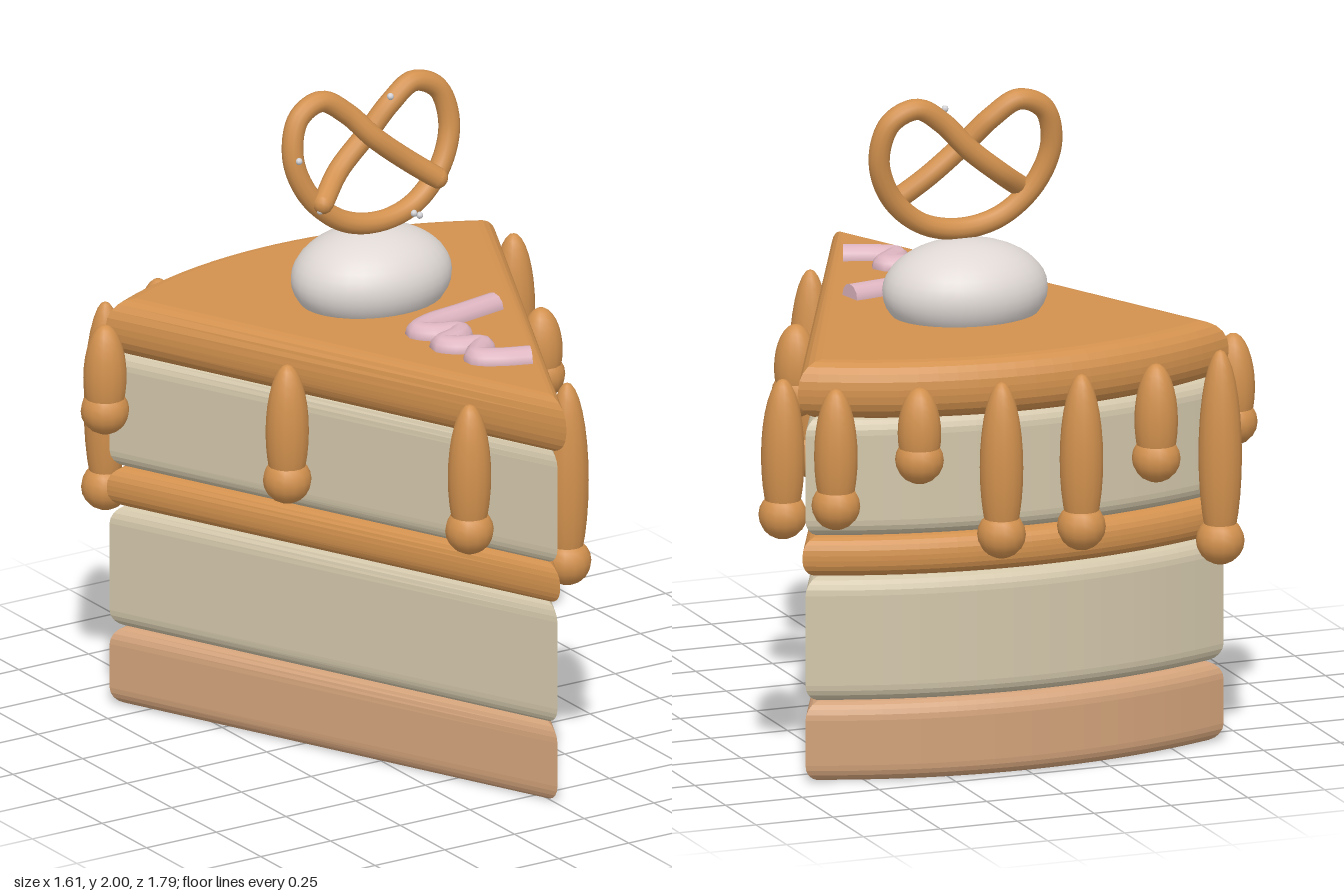
import * as THREE from 'three';

const mat = (name, color, side = THREE.FrontSide) => {
  const m = new THREE.MeshStandardMaterial({ color, side });
  m.name = name;
  return m;
};

export function createModel() {
  const group = new THREE.Group();
  const caramel = mat('caramel', 0xd2914e);
  const cream = mat('cream', 0xd2c6aa);
  const crust = mat('crust', 0xd2a27a);
  const whipped = mat('whipped cream', 0xdfd8d4);
  const pink = mat('pink', 0xdcb4c0);
  const salt = mat('salt', 0xd4d4d8);

  const add = (name, geo, material, x = 0, y = 0, z = 0, parent = group) => {
    const m = new THREE.Mesh(geo, material);
    m.name = name;
    m.position.set(x, y, z);
    parent.add(m);
    return m;
  };

  // Wedge-shaped layer with a curved back and rounded edges
  const layer = (name, material, y0, y1, tip, w, corner, back, bevel) => {
    const sag = corner - back;
    const r = (w * w + sag * sag) / (2 * sag);
    const a = Math.asin(w / r);
    const s = new THREE.Shape();
    s.moveTo(0, -tip);
    const n = 24;
    for (let i = 0; i <= n; i++) {
      const t = a - (2 * a * i) / n;
      s.lineTo(r * Math.sin(t), -back - r + r * Math.cos(t));
    }
    s.closePath();
    const geo = new THREE.ExtrudeGeometry(s, {
      depth: y1 - y0 - 2 * bevel,
      bevelThickness: bevel,
      bevelSize: bevel * 0.85,
      bevelOffset: -bevel * 0.85,
      bevelSegments: 5,
    });
    geo.rotateX(-Math.PI / 2);
    add(name, geo, material, 0, y0 + bevel, 0);
  };
  layer('crustLayer', crust, 0, 0.25, 0.85, 0.68, -0.6, -0.74, 0.055);
  layer('lowerCreamLayer', cream, 0.25, 0.64, 0.85, 0.68, -0.6, -0.74, 0.055);
  layer('caramelFilling', caramel, 0.64, 0.765, 0.865, 0.69, -0.6, -0.75, 0.055);
  layer('upperCreamLayer', cream, 0.765, 1.14, 0.85, 0.68, -0.6, -0.74, 0.055);
  layer('caramelTopping', caramel, 1.13, 1.31, 0.9, 0.7, -0.59, -0.78, 0.08);

  // Caramel drips: x, z and height of the hanging drop
  const drips = [
    [0.175, 0.63, 0.68], [-0.175, 0.63, 0.85],
    [0.455, 0.045, 1.04], [-0.455, 0.045, 0.885],
    [0.73, -0.54, 0.83], [-0.735, -0.54, 0.98],
    [0.625, -0.71, 0.89], [-0.625, -0.71, 0.66],
    [0.385, -0.79, 1.03], [-0.385, -0.79, 0.96],
    [0.13, -0.82, 0.78], [-0.13, -0.82, 0.78],
  ];
  const ball = new THREE.SphereGeometry(0.074, 14, 10);
  const unit = new THREE.SphereGeometry(1, 14, 16);
  for (const [x, z, y] of drips) {
    const drip = new THREE.Group();
    drip.name = 'drip';
    group.add(drip);
    const bottom = y - 0.06;
    const body = add('dripBody', unit, caramel, x, (1.255 + bottom) / 2, z, drip);
    body.scale.set(0.066, (1.255 - bottom) / 2, 0.066);
    add('dripDrop', ball, caramel, x, y, z, drip);
  }

  // Dollop of whipped cream
  add('dollop', new THREE.SphereGeometry(1, 32, 20), whipped, 0, 1.38, -0.195)
    .scale.set(0.257, 0.155, 0.21);

  // Tube with rounded ends
  const tube = (name, pts, r, material, segs) => {
    const curve = new THREE.CatmullRomCurve3(pts.map((p) => new THREE.Vector3(...p)));
    add(name, new THREE.TubeGeometry(curve, segs, r, 12), material);
    return curve;
  };

  // Pretzel: x, y and forward offset of one half, leaning back as it rises
  const half = [
    [0.205, 1.665, 0.03], [0.11, 1.735, 0.02], [0, 1.825, 0.022], [-0.08, 1.91, 0.005],
    [-0.165, 1.963, 0], [-0.25, 1.925, 0], [-0.28, 1.81, 0], [-0.235, 1.685, 0],
    [-0.13, 1.59, 0],
  ];
  const lean = (y) => -0.16 - (y - 1.56) * 0.145;
  const place = (sx, front) => ([x, y, d]) =>
    [sx * x, y, lean(y) + (Math.abs(x) < 0.12 ? front * d : d)];
  const path = [
    ...half.map(place(1, 1)),
    [0, 1.56, lean(1.56)],
    ...half.map(place(-1, -1)).reverse(),
  ];
  tube('pretzel', path, 0.033, caramel, 160);
  for (const p of [path[0], path[path.length - 1]])
    add('pretzelEnd', new THREE.SphereGeometry(0.033, 12, 8), caramel, ...p);

  // Salt grains on the pretzel
  const grain = new THREE.SphereGeometry(0.011, 8, 6);
  for (const [x, y] of [[-0.28, 1.81], [-0.22, 1.645], [0.06, 1.945],
    [0.215, 1.65], [0.11, 1.575], [0.13, 1.565]])
    add('saltGrain', grain, salt, x, y, lean(y) + 0.034);

  // Pink curl lying on the topping
  const curl = [
    [0.265, 0.08], [0.12, 0.108], [0.0, 0.13], [-0.06, 0.165], [-0.03, 0.205],
    [0.04, 0.235], [0.01, 0.27], [-0.06, 0.3], [-0.035, 0.335], [0.035, 0.37],
    [0.0, 0.41], [-0.03, 0.45], [0.02, 0.49], [0.11, 0.525],
  ].map(([x, z]) => [x, 1.312, z]);
  tube('curl', curl, 0.041, pink, 100);
  const cap = new THREE.CircleGeometry(0.041, 12);
  add('curlEnd', cap, pink, ...curl[0]).rotation.y = 1.77;
  add('curlEnd', cap, pink, ...curl[curl.length - 1]).rotation.y = 1.2;

  return group;
}
